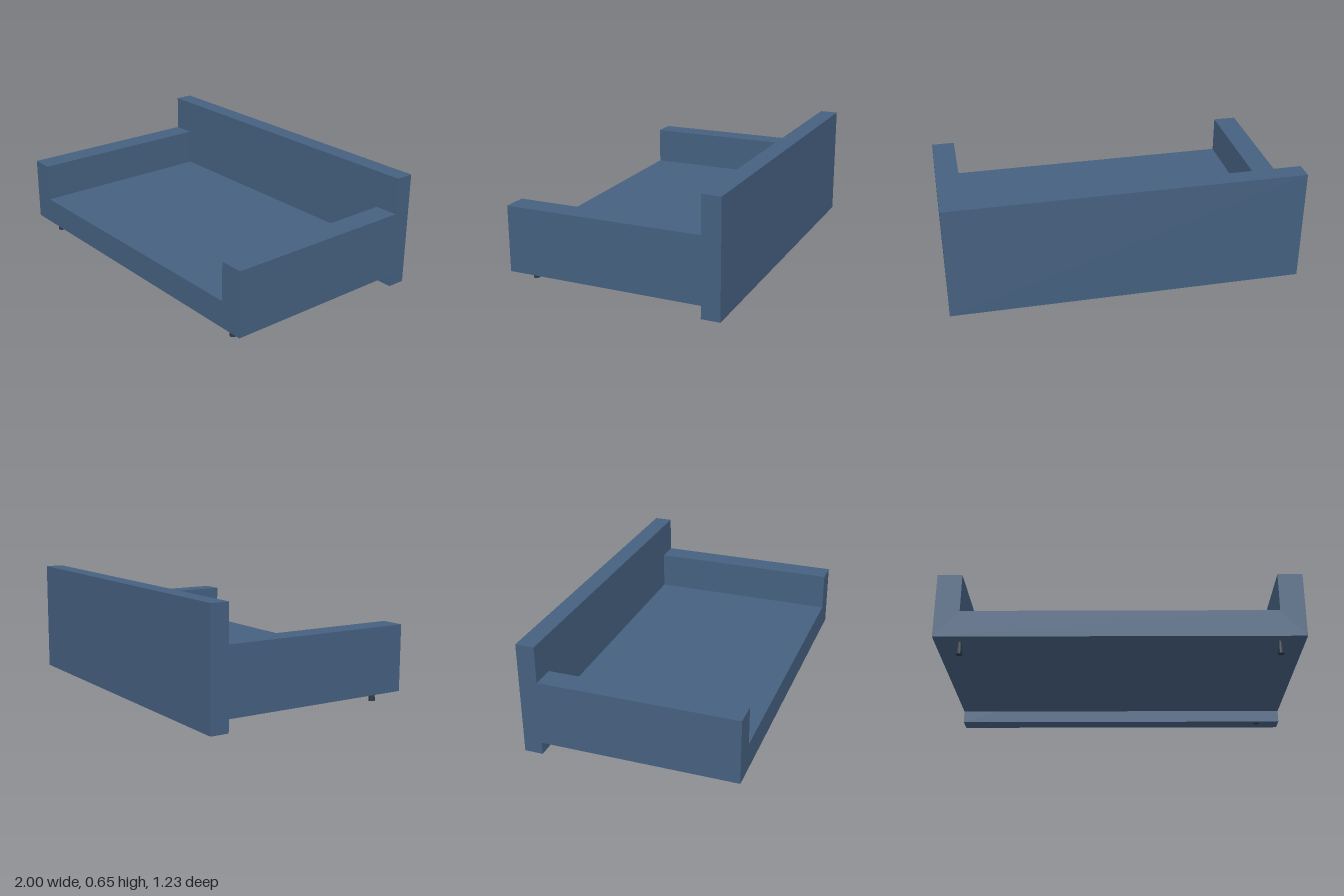
import * as THREE from 'three';

const fabric = new THREE.MeshStandardMaterial({ color: 0x45607f });
const darkWood = new THREE.MeshStandardMaterial({ color: 0x2b3846, flatShading: true });

const FRONT = 0.614, BACK = -0.614, BACK_FACE = -0.508;
const UNDERSIDE = 0.072, SEAT_TOP = 0.225, ARM_TOP = 0.445, BACK_TOP = 0.655;
const INNER = 0.863;

function addMesh(group, name, geometry, material) {
  const mesh = new THREE.Mesh(geometry, material);
  mesh.name = name;
  group.add(mesh);
  return mesh;
}

export function createModel() {
  const group = new THREE.Group();
  group.name = 'sofa';

  // Seat and both arms: one U-shaped section running front to back
  const section = new THREE.Shape([
    [-1, UNDERSIDE], [1, UNDERSIDE], [1, ARM_TOP], [INNER, ARM_TOP],
    [INNER, SEAT_TOP], [-INNER, SEAT_TOP], [-INNER, ARM_TOP], [-1, ARM_TOP],
  ].map(([x, y]) => new THREE.Vector2(x, y)));
  const body = new THREE.ExtrudeGeometry(section, { depth: FRONT - BACK_FACE, bevelEnabled: false });
  addMesh(group, 'seatAndArms', body, fabric).position.z = BACK_FACE;

  // Backrest panel reaching down to the floor
  const panel = new THREE.BoxGeometry(2, BACK_TOP, BACK_FACE - BACK);
  addMesh(group, 'backrest', panel, fabric).position.set(0, BACK_TOP / 2, (BACK + BACK_FACE) / 2);

  // Short tapered feet, the rear pair set into the backrest
  const foot = new THREE.CylinderGeometry(0.013, 0.019, UNDERSIDE, 12);
  for (const [end, z] of [['front', 0.54], ['rear', -0.54]]) {
    for (const [side, x] of [['Left', 0.863], ['Right', -0.863]]) {
      addMesh(group, `${end}${side}Foot`, foot, darkWood).position.set(x, UNDERSIDE / 2, z);
    }
  }

  return group;
}
